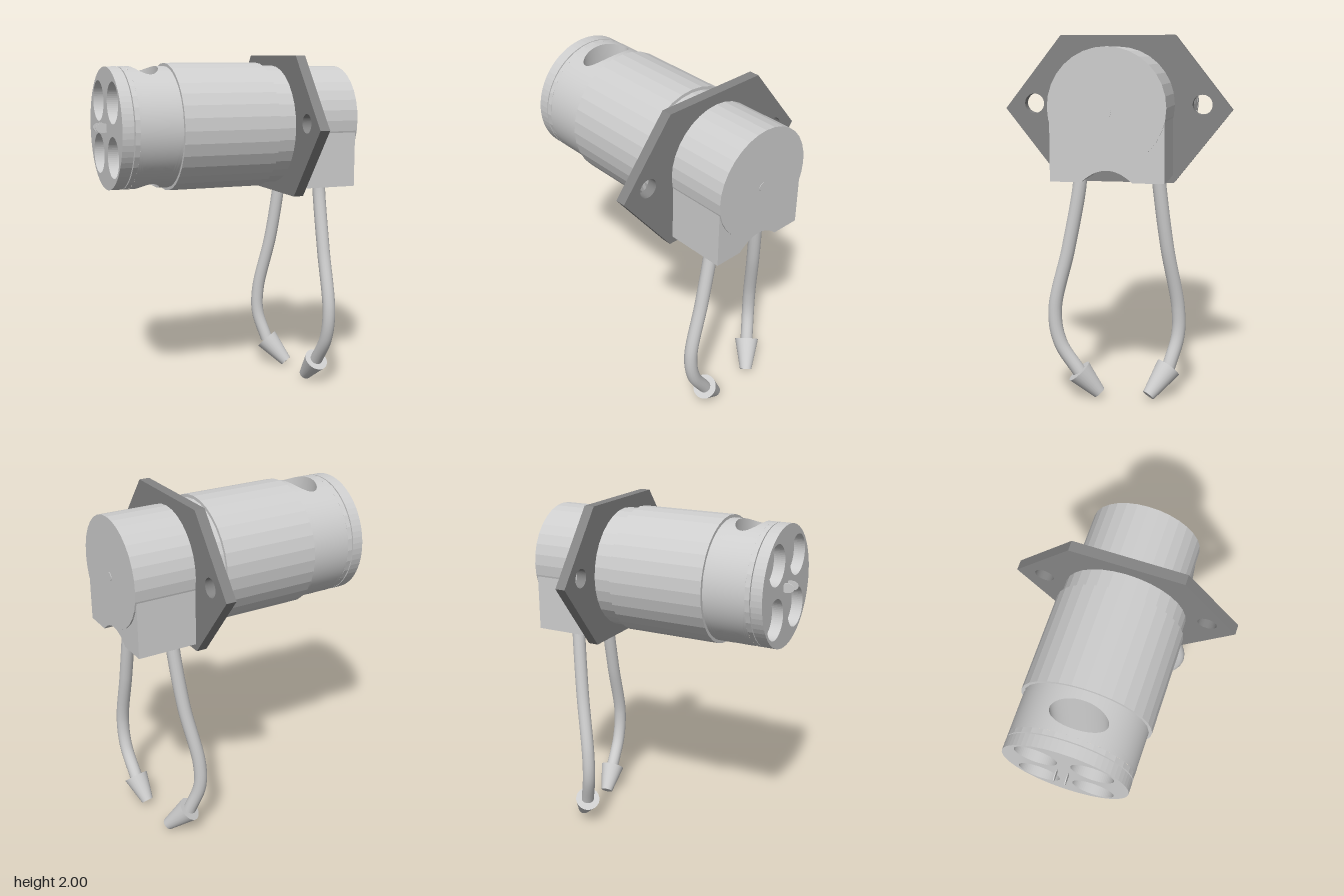
import * as THREE from 'three';
import { ParametricGeometry } from 'three/addons/geometries/ParametricGeometry.js';

const AXIS_Y = 1.597, AXIS_Z = 0.005; // barrel axis, running along x

export function createModel() {
  const model = new THREE.Group();
  const lightMetal = new THREE.MeshStandardMaterial({ color: 0xcecece });
  lightMetal.name = 'light grey';
  const darkMetal = new THREE.MeshStandardMaterial({ color: 0x848484 });
  darkMetal.name = 'dark grey';

  const add = (name, geometry, material = lightMetal) => {
    const mesh = new THREE.Mesh(geometry, material);
    mesh.name = name;
    model.add(mesh);
    return mesh;
  };

  // Faceted cylinder along x
  const drum = (name, x0, x1, r, y = AXIS_Y, z = AXIS_Z) => {
    const g = new THREE.CylinderGeometry(r, r, x1 - x0, 32).toNonIndexed();
    g.computeVertexNormals();
    g.rotateZ(Math.PI / 2).translate((x0 + x1) / 2, y, z);
    return add(name, g);
  };

  // Outline drawn in (-z, y), extruded from x0 to x1
  const slab = (name, shape, x0, x1, material) => {
    const g = new THREE.ExtrudeGeometry(shape, { depth: x1 - x0, bevelEnabled: false, curveSegments: 32 });
    g.rotateY(Math.PI / 2).translate(x0, 0, 0);
    return add(name, g, material);
  };
  const polygon = (pts) => new THREE.Shape(pts.map(([u, y]) => new THREE.Vector2(u, y)));
  const hole = (u, y, r) => new THREE.Path().absarc(u, y, r, 0, Math.PI * 2, true);

  // Barrel
  drum('barrelFrontRing', -0.618, -0.59, 0.345);
  drum('barrelBand', -0.345, 0.22, 0.363);
  drum('barrelRear', 0.22, 0.325, 0.345);

  // Drilled barrel section: two half shells around a vertical elliptical bore
  const R = 0.345, x0 = -0.59, x1 = -0.345;
  const bore = { x: -0.475, z: 0.012, a: 0.077, b: 0.154 };
  const xm = (x0 + x1) / 2, hx = (x1 - x0) / 2;
  for (const side of [1, -1]) {
    const shell = (u, v, target) => {
      const t = u * Math.PI * 2, c = Math.cos(t), s = Math.sin(t) * side;
      const k = 1 / Math.max(Math.abs(c), Math.abs(s));
      const x = THREE.MathUtils.lerp(bore.x + bore.a * c, xm + hx * c * k, v);
      const angle = THREE.MathUtils.lerp(Math.asin((bore.z + bore.b * s) / R), Math.PI / 2 * s * k, v);
      target.set(x, AXIS_Y + side * R * Math.cos(angle), AXIS_Z + R * Math.sin(angle));
    };
    add(side > 0 ? 'drilledShellTop' : 'drilledShellBottom', new ParametricGeometry(shell, 64, 16));
  }
  add('boreWall', new ParametricGeometry((u, v, target) => {
    const t = u * Math.PI * 2, z = bore.z + bore.b * Math.sin(t);
    const h = Math.sqrt(R * R - z * z);
    target.set(bore.x + bore.a * Math.cos(t), AXIS_Y + h * (2 * v - 1), AXIS_Z + z);
  }, 64, 2));

  // End cap with four round openings
  const cap = new THREE.Shape().absarc(-AXIS_Z, AXIS_Y, R, 0, Math.PI * 2);
  for (const i of [-1, 1]) for (const j of [-1, 1]) {
    cap.holes.push(hole(-AXIS_Z + i * 0.15, AXIS_Y + j * 0.15, 0.115));
  }
  slab('endCap', cap, -0.69, -0.624);

  // Flat contact pins
  for (const z of [-0.037, 0.025]) {
    const g = new THREE.CylinderGeometry(1, 1, 0.005, 24).rotateX(Math.PI / 2);
    g.scale(0.042, 0.027, 1).translate(-0.71, 1.602, z);
    add('contactPin', g);
  }

  // Mounting flange
  const flange = polygon([[-0.63, 1.6], [-0.315, 1.2], [0.315, 1.2], [0.63, 1.6], [0.315, 2], [-0.315, 2]]);
  for (const s of [-1, 1]) flange.holes.push(hole(s * 0.467, 1.628, 0.054));
  slab('mountingFlange', flange, 0.333, 0.392, darkMetal);

  // Rear housing with wire block and grooved underside
  drum('rearHousing', 0.392, 0.745, 0.311, 1.627, -0.006);
  drum('shaftDimple', 0.74, 0.748, 0.025, 1.603, -0.006);
  const block = new THREE.Shape();
  block.moveTo(-0.296, 1.56);
  block.lineTo(-0.296, 1.24);
  block.lineTo(-0.13, 1.24);
  block.quadraticCurveTo(0.005, 1.365, 0.14, 1.24);
  block.lineTo(0.308, 1.24);
  block.lineTo(0.308, 1.56);
  slab('wireBlock', block, 0.392, 0.736);

  // Wires with tapered end caps
  const wire = (side, path, tip) => {
    const pts = path.map((p) => new THREE.Vector3(...p));
    add(side + 'Wire', new THREE.TubeGeometry(new THREE.CatmullRomCurve3(pts), 48, 0.038, 16));
    const start = pts[pts.length - 1], end = new THREE.Vector3(...tip);
    const dir = end.clone().sub(start);
    const connector = add(side + 'WireCap', new THREE.CylinderGeometry(0.036, 0.073, dir.length(), 24));
    connector.position.copy(start).add(end).multiplyScalar(0.5);
    connector.quaternion.setFromUnitVectors(new THREE.Vector3(0, 1, 0), dir.normalize());
  };
  wire('front', [[0.565, 1.32, 0.17], [0.568, 1.2, 0.175], [0.572, 0.85, 0.24], [0.575, 0.5, 0.318],
    [0.574, 0.32, 0.29], [0.565, 0.155, 0.187]], [0.545, 0.03, 0.077]);
  wire('back', [[0.51, 1.32, -0.24], [0.503, 1.2, -0.25], [0.465, 0.85, -0.29], [0.405, 0.5, -0.345],
    [0.405, 0.34, -0.345], [0.45, 0.165, -0.298]], [0.545, 0.03, -0.2]);

  return model;
}
